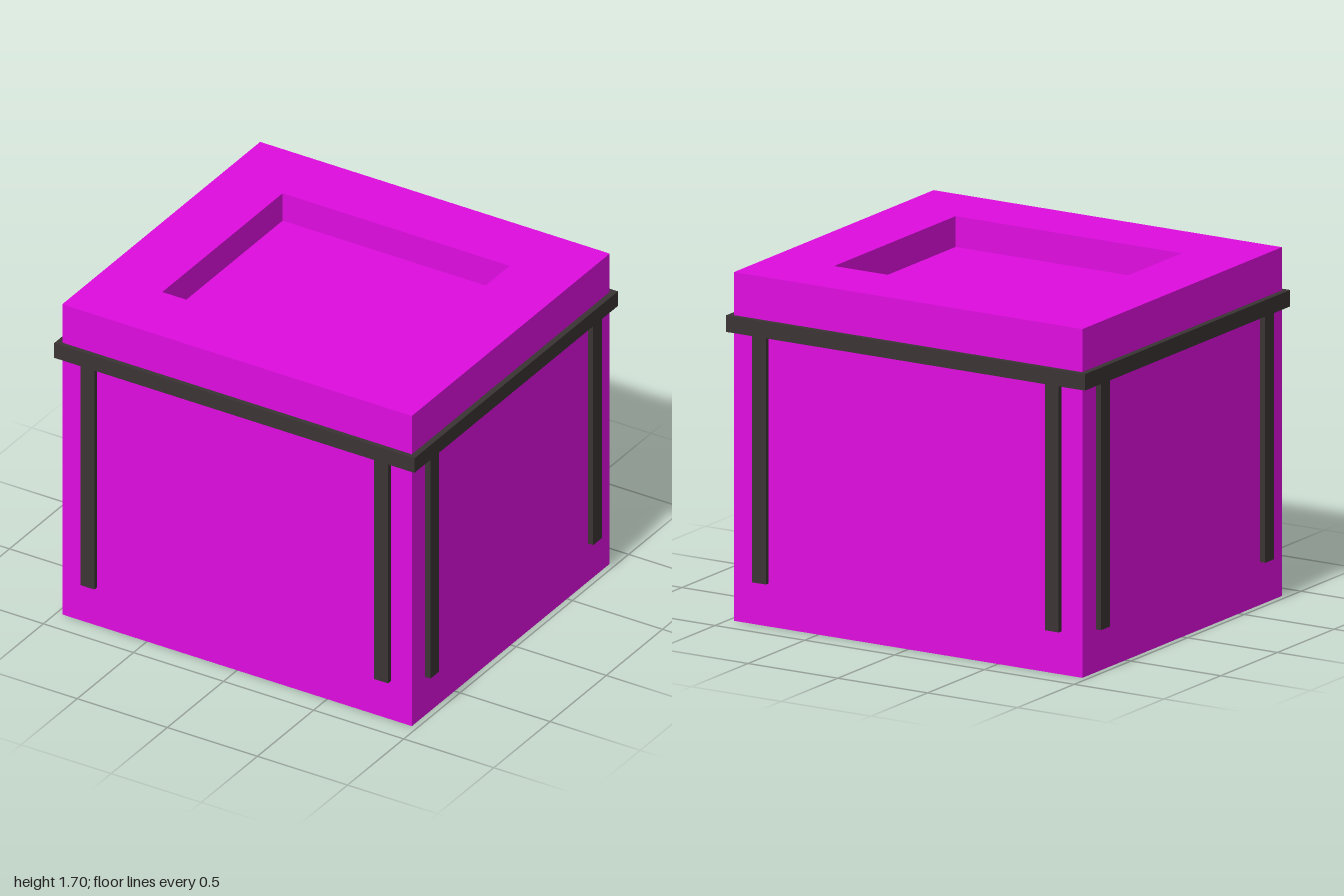
import * as THREE from 'three';

const HX = 0.97, HZ = 0.88;       // body half width and half depth
const OX = 1.0, OZ = 0.905;       // outer half sizes of the trim
const BAND_LOW = 1.41, BAND_HIGH = 1.49, STRAP_LOW = 0.21;

// Closed solid through rectangular rings [halfX, y, halfZ], capped at both ends
function ringSolid(rings) {
  const corner = ([hx, y, hz], j) => {
    const [sx, sz] = [[1, 1], [1, -1], [-1, -1], [-1, 1]][j % 4];
    return [sx * hx, y, sz * hz];
  };
  const pos = [];
  const quad = (a, b, c, d) => pos.push(...a, ...b, ...c, ...a, ...c, ...d);
  for (let i = 0; i < rings.length - 1; i++) {
    for (let j = 0; j < 4; j++) {
      const lo = rings[i], hi = rings[i + 1];
      quad(corner(lo, j), corner(lo, j + 1), corner(hi, j + 1), corner(hi, j));
    }
  }
  const first = rings[0], last = rings[rings.length - 1];
  quad(...[3, 2, 1, 0].map(j => corner(first, j)));
  quad(...[0, 1, 2, 3].map(j => corner(last, j)));
  const geo = new THREE.BufferGeometry();
  geo.setAttribute('position', new THREE.Float32BufferAttribute(pos, 3));
  geo.computeVertexNormals();
  return geo;
}

function rectangle(PathType, hx, hz) {
  return new PathType([[-hx, -hz], [hx, -hz], [hx, hz], [-hx, hz]]
    .map(([x, y]) => new THREE.Vector2(x, y)));
}

export function createModel() {
  const model = new THREE.Group();
  const bodyMat = new THREE.MeshStandardMaterial({ color: 0xe00ce0 });
  const trimMat = new THREE.MeshStandardMaterial({ color: 0x3b3434 });

  const add = (name, geo, mat, x = 0, y = 0, z = 0) => {
    const mesh = new THREE.Mesh(geo, mat);
    mesh.name = name;
    mesh.position.set(x, y, z);
    model.add(mesh);
  };

  // Block with a shallow rectangular recess in its top
  add('body', ringSolid([
    [HX, 0, HZ], [HX, 1.7, HZ], [0.63, 1.7, 0.535], [0.63, 1.55, 0.535],
  ]), bodyMat);

  // Band running round the body
  const outline = rectangle(THREE.Shape, OX, OZ);
  outline.holes.push(rectangle(THREE.Path, HX, HZ));
  const band = new THREE.ExtrudeGeometry(outline, { depth: BAND_HIGH - BAND_LOW, bevelEnabled: false });
  band.rotateX(-Math.PI / 2);
  add('band', band, trimMat, 0, BAND_LOW, 0);

  // Two vertical straps hanging from the band on each face
  const h = BAND_LOW - STRAP_LOW, y = (BAND_LOW + STRAP_LOW) / 2, w = 0.077;
  const frontStrap = new THREE.BoxGeometry(w, h, OZ - HZ);
  const sideStrap = new THREE.BoxGeometry(OX - HX, h, w);
  for (const sx of [1, -1]) {
    for (const sz of [1, -1]) {
      const place = (sz > 0 ? 'front' : 'back') + (sx > 0 ? 'Left' : 'Right');
      add(place + 'FaceStrap', frontStrap, trimMat, sx * 0.815, y, sz * (OZ + HZ) / 2);
      add(place + 'SideStrap', sideStrap, trimMat, sx * (OX + HX) / 2, y, sz * 0.723);
    }
  }
  return model;
}
